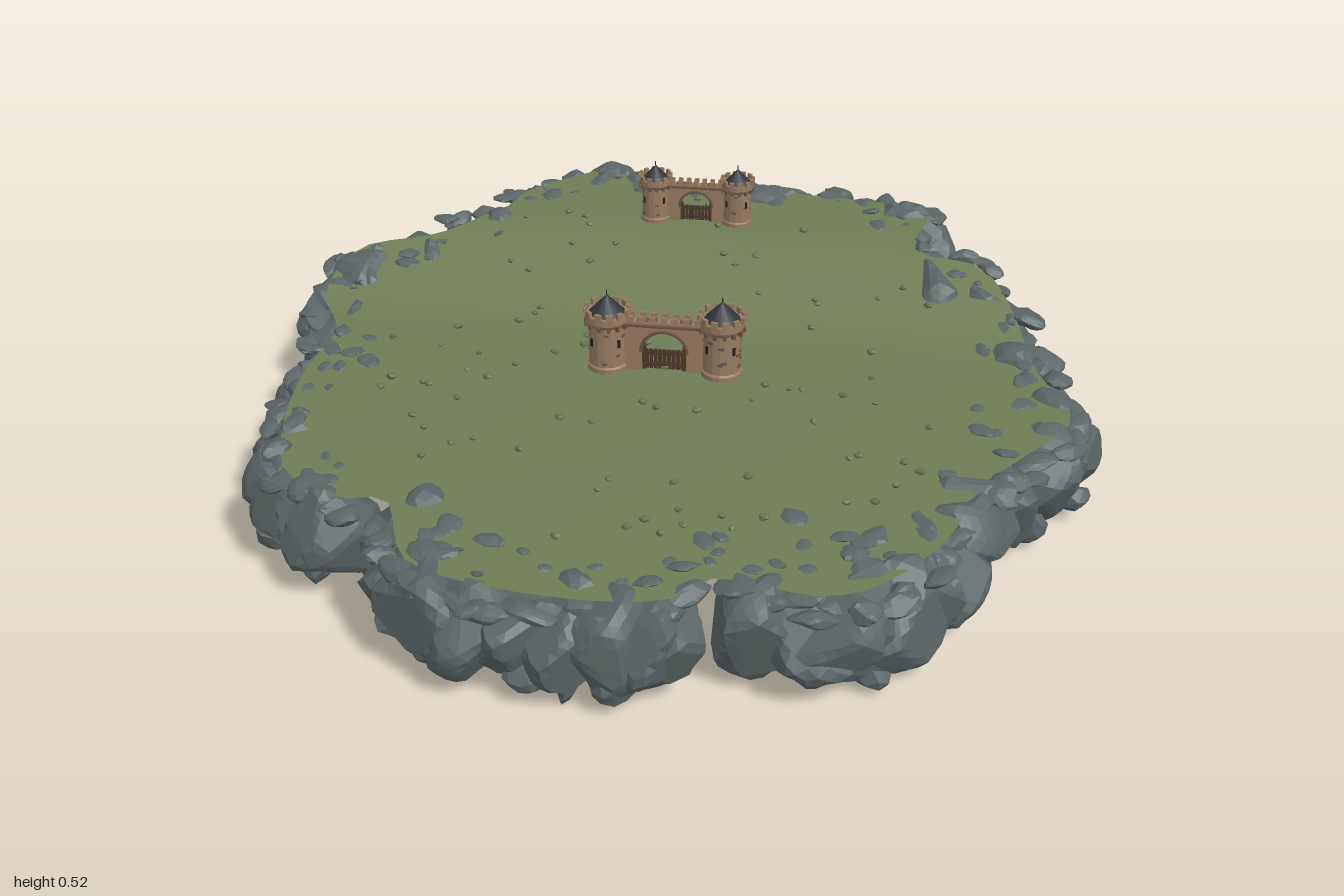
import * as THREE from 'three';
import { mergeGeometries } from 'three/addons/utils/BufferGeometryUtils.js';

const mat = (name, color, side = THREE.FrontSide) => {
  const m = new THREE.MeshStandardMaterial({ color, side });
  m.name = name;
  return m;
};

// Seeded random numbers
let seed = 7;
const rnd = (a = 0, b = 1) => {
  seed = (seed * 16807) % 2147483647;
  return a + (b - a) * seed / 2147483647;
};

// Clockwise shoreline seen from above, as x, z pairs
const SHORE = [
  -0.3, -0.97, -0.23, -0.91, -0.02, -0.85, 0.09, -0.88, 0.25, -0.86, 0.43, -0.83, 0.63, -0.77,
  0.61, -0.54, 0.78, -0.48, 0.87, -0.32, 0.92, -0.1, 0.98, 0.12, 0.89, 0.27, 0.76, 0.45,
  0.69, 0.64, 0.54, 0.83, 0.43, 0.88, 0.21, 0.86, 0.14, 0.93, -0.05, 0.96, -0.34, 0.92,
  -0.44, 0.87, -0.55, 0.67, -0.63, 0.68, -0.79, 0.59, -0.87, 0.4, -0.91, 0.13, -0.9, -0.08,
  -0.98, -0.27, -0.93, -0.41, -0.71, -0.5, -0.56, -0.67, -0.53, -0.77, -0.4, -0.9];
const shore = new THREE.CatmullRomCurve3(
  Array.from({ length: SHORE.length / 2 }, (_, i) => new THREE.Vector3(SHORE[2 * i], 0, SHORE[2 * i + 1])),
  true, 'centripetal');

// Low meadow in front, plateau at the back
const ground = (x, z) => 0.255 + 0.115 * THREE.MathUtils.smoothstep(-z, 0.15, 0.56)
  + 0.002 * Math.sin(9 * x + 4 * z) * Math.sin(7 * z);

// Faceted rock: a sphere cut by random planes
function rockGeometry(sx, sy, sz, detail) {
  const g = new THREE.IcosahedronGeometry(1, detail);
  const planes = Array.from({ length: 16 }, () => ({
    n: new THREE.Vector3(rnd(-1, 1), rnd(-1, 1), rnd(-1, 1)).normalize(), d: rnd(0.68, 1) }));
  const p = g.attributes.position, v = new THREE.Vector3();
  for (let i = 0; i < p.count; i++) {
    v.fromBufferAttribute(p, i).normalize();
    let r = 1.15;
    for (const { n, d } of planes) {
      const c = v.dot(n);
      if (c > 0.05) r = Math.min(r, d / c);
    }
    p.setXYZ(i, v.x * r * sx, v.y * r * sy, v.z * r * sz);
  }
  g.computeVertexNormals();
  return g;
}

// A rock at fraction u of the shore, moved inland by inset
function shoreRock(u, inset, y, size, detail, tilt = 0.12) {
  const w = THREE.MathUtils.euclideanModulo(u, 1);
  const p = shore.getPointAt(w), t = shore.getTangentAt(w);
  const x = p.x - t.z * inset, z = p.z + t.x * inset;
  const g = rockGeometry(...size, detail);
  g.rotateX(rnd(-tilt, tilt)).rotateZ(rnd(-tilt, tilt));
  g.rotateY(Math.atan2(-t.z, t.x) + rnd(-tilt, tilt));
  return g.translate(x, ground(x, z) + y, z);
}

function meadowGeometry(rings = 36, around = 120) {
  const pos = [], index = [];
  for (let r = 0; r <= rings; r++) {
    for (let i = 0; i < around; i++) {
      const p = shore.getPointAt(i / around);
      p.multiplyScalar((1 - 0.065 / p.length()) * r / rings);
      pos.push(p.x, ground(p.x, p.z), p.z);
      if (r === rings) continue;
      const a = r * around + i, b = r * around + (i + 1) % around;
      if (r > 0) index.push(a, b, a + around);
      index.push(b, b + around, a + around);
    }
  }
  const g = new THREE.BufferGeometry();
  g.setAttribute('position', new THREE.Float32BufferAttribute(pos, 3));
  g.setIndex(index);
  g.computeVertexNormals();
  return g;
}

export function createModel() {
  seed = 7;
  const grass = mat('grass', 0x6f7c54, THREE.DoubleSide);
  const rock = mat('cliff rock', 0x5b6566);
  const pebble = mat('mossy pebble', 0x667050);
  const stone = mat('castle stone', 0x967b5f);
  const darkStone = mat('dark castle stone', 0x6d5543);
  const slate = mat('roof slate', 0x32353c);
  const wood = mat('gate wood', 0x4a382c);
  const dark = mat('window dark', 0x1e1b1a);

  const model = new THREE.Group();
  model.name = 'floatingIsland';
  const add = (parent, name, geometry, material, x = 0, y = 0, z = 0) => {
    const m = new THREE.Mesh(geometry, material);
    m.name = name;
    m.position.set(x, y, z);
    parent.add(m);
  };
  add(model, 'meadow', meadowGeometry(), grass);

  // Cliff ring: big boulders, hanging shards below, flat slabs on the rim
  const boulders = [], shards = [], slabs = [], pebbles = [];
  const N = 66;
  for (let i = 0; i < N; i++) {
    boulders.push(shoreRock((i + rnd(-0.2, 0.2)) / N, rnd(0.085, 0.105), rnd(-0.112, -0.104),
      [rnd(0.095, 0.115), rnd(0.104, 0.116), rnd(0.1, 0.115)], 5));
    shards.push(shoreRock((i + rnd()) / N, rnd(0.03, 0.15), rnd(-0.203, -0.18),
      [rnd(0.025, 0.055), rnd(0.03, 0.055), rnd(0.025, 0.05)], 1, 0.8));
  }
  for (let i = 0; i < 110; i++) {
    slabs.push(shoreRock((i + rnd()) / 110, rnd(0.015, 0.075), rnd(-0.035, -0.012),
      [rnd(0.03, 0.06), rnd(0.012, 0.026), rnd(0.02, 0.045)], 2, 0.3));
  }
  for (let i = 0; i < 60; i++) {
    const s = rnd(0.01, 0.026);
    slabs.push(shoreRock(rnd(), 0.09 + 0.13 * rnd() * rnd(), 0, [s * 1.4, s * 0.35, s], 1, 0.3));
  }
  // Stone clusters on the meadow near both sides and the front
  for (const [cx, cz, n] of [[-0.79, 0, 10], [-0.66, -0.43, 5], [0.42, 0.64, 5], [-0.3, 0.75, 6],
    [0.12, 0.73, 5], [0.78, 0.12, 4], [-0.48, -0.68, 4]]) {
    for (let i = 0; i < n; i++) {
      const x = cx + rnd(-0.09, 0.09), z = cz + rnd(-0.08, 0.08), s = rnd(0.012, 0.03);
      slabs.push(rockGeometry(s * 1.3, s * 0.35, s, 1).rotateY(rnd(0, 6)).translate(x, ground(x, z), z));
    }
  }
  for (let i = 0; i < 90; i++) {
    const a = rnd(0, Math.PI * 2), r = 0.72 * Math.sqrt(rnd()), s = rnd(0.006, 0.01);
    const x = r * Math.cos(a), z = r * Math.sin(a);
    pebbles.push(rockGeometry(s * 1.2, s * 0.8, s, 1).translate(x, ground(x, z) + s * 0.75, z));
  }
  add(model, 'cliffBoulders', mergeGeometries(boulders), rock);
  add(model, 'hangingShards', mergeGeometries(shards), rock);
  add(model, 'rimSlabs', mergeGeometries(slabs), rock);
  add(model, 'pebbles', mergeGeometries(pebbles), pebble);

  const box = (w, h, d) => new THREE.BoxGeometry(w, h, d);

  // Boxes set in a ring, facing outward
  function ring(parent, name, count, radius, y, size, material) {
    const parts = Array.from({ length: count }, (_, i) =>
      box(...size).translate(0, y, radius).rotateY((i + 0.5) / count * Math.PI * 2));
    add(parent, name, mergeGeometries(parts), material);
  }

  function tower(x) {
    const t = new THREE.Group();
    t.name = 'tower';
    t.position.x = x;
    const profile = [[0, 0], [0.049, 0], [0.049, 0.012], [0.045, 0.016], [0.044, 0.115],
      [0.052, 0.126], [0.052, 0.142], [0, 0.142]].map(p => new THREE.Vector2(...p));
    const body = new THREE.LatheGeometry(profile, 16).toNonIndexed();
    body.computeVertexNormals();
    add(t, 'towerBody', body, stone);
    ring(t, 'corbels', 14, 0.048, 0.118, [0.007, 0.012, 0.012], darkStone);
    ring(t, 'merlons', 12, 0.051, 0.149, [0.015, 0.016, 0.008], stone);
    ring(t, 'windows', 4, 0.0435, 0.075, [0.007, 0.02, 0.005], dark);
    // Scattered darker blocks in the masonry
    const blocks = Array.from({ length: 14 }, () =>
      box(rnd(0.01, 0.015), 0.006, 0.005).translate(0, rnd(0.02, 0.106), 0.0428).rotateY(rnd(0, 6.28)));
    add(t, 'masonryBlocks', mergeGeometries(blocks), darkStone);
    add(t, 'roof', new THREE.ConeGeometry(0.043, 0.045, 12), slate, 0, 0.1645, 0);
    add(t, 'finial', new THREE.CylinderGeometry(0.001, 0.002, 0.018, 5), slate, 0, 0.19, 0);
    return t;
  }

  function gatehouse(x, y, z, scale) {
    const g = new THREE.Group();
    g.name = 'gatehouse';
    g.position.set(x, y, z);
    g.scale.setScalar(scale);
    g.add(tower(-0.134), tower(0.134));
    // Wall with an arched passage
    const wall = new THREE.Shape([[-0.1, 0], [-0.052, 0], [-0.052, 0.05]].map(p => new THREE.Vector2(...p)));
    wall.absarc(0, 0.05, 0.052, Math.PI, 0, true);
    wall.lineTo(0.052, 0).lineTo(0.1, 0).lineTo(0.1, 0.126).lineTo(-0.1, 0.126);
    add(g, 'gateWall', new THREE.ExtrudeGeometry(wall, { depth: 0.026, bevelEnabled: false, curveSegments: 10 }),
      stone, 0, 0, -0.013);
    for (const s of [-1, 1]) {
      add(g, 'archTrim', new THREE.TorusGeometry(0.054, 0.004, 5, 16, Math.PI), darkStone, 0, 0.05, s * 0.013);
      add(g, 'cornice', box(0.19, 0.006, 0.006), darkStone, 0, 0.118, s * 0.015);
      for (let i = 0; i < 7; i++)
        add(g, 'wallMerlon', box(0.014, 0.015, 0.007), stone, -0.078 + i * 0.026, 0.133, s * 0.013);
      add(g, 'gatePost', box(0.01, 0.062, 0.012), wood, s * 0.048, 0.031, 0);
    }
    // Walkway planks on top of the wall
    for (let i = 0; i < 9; i++)
      add(g, 'walkwayPlank', box(0.008, 0.003, 0.018), darkStone, -0.08 + i * 0.02, 0.127, 0);
    // Wooden gate
    for (let i = 0; i < 9; i++)
      add(g, 'gateBar', box(0.0085, 0.05, 0.005), wood, -0.042 + i * 0.0105, 0.026, 0);
    for (const h of [0.012, 0.042]) add(g, 'gateRail', box(0.096, 0.006, 0.009), wood, 0, h, 0);
    model.add(g);
  }
  gatehouse(-0.011, 0.256, 0.01, 1);
  gatehouse(-0.012, 0.371, -0.585, 0.8);
  return model;
}
